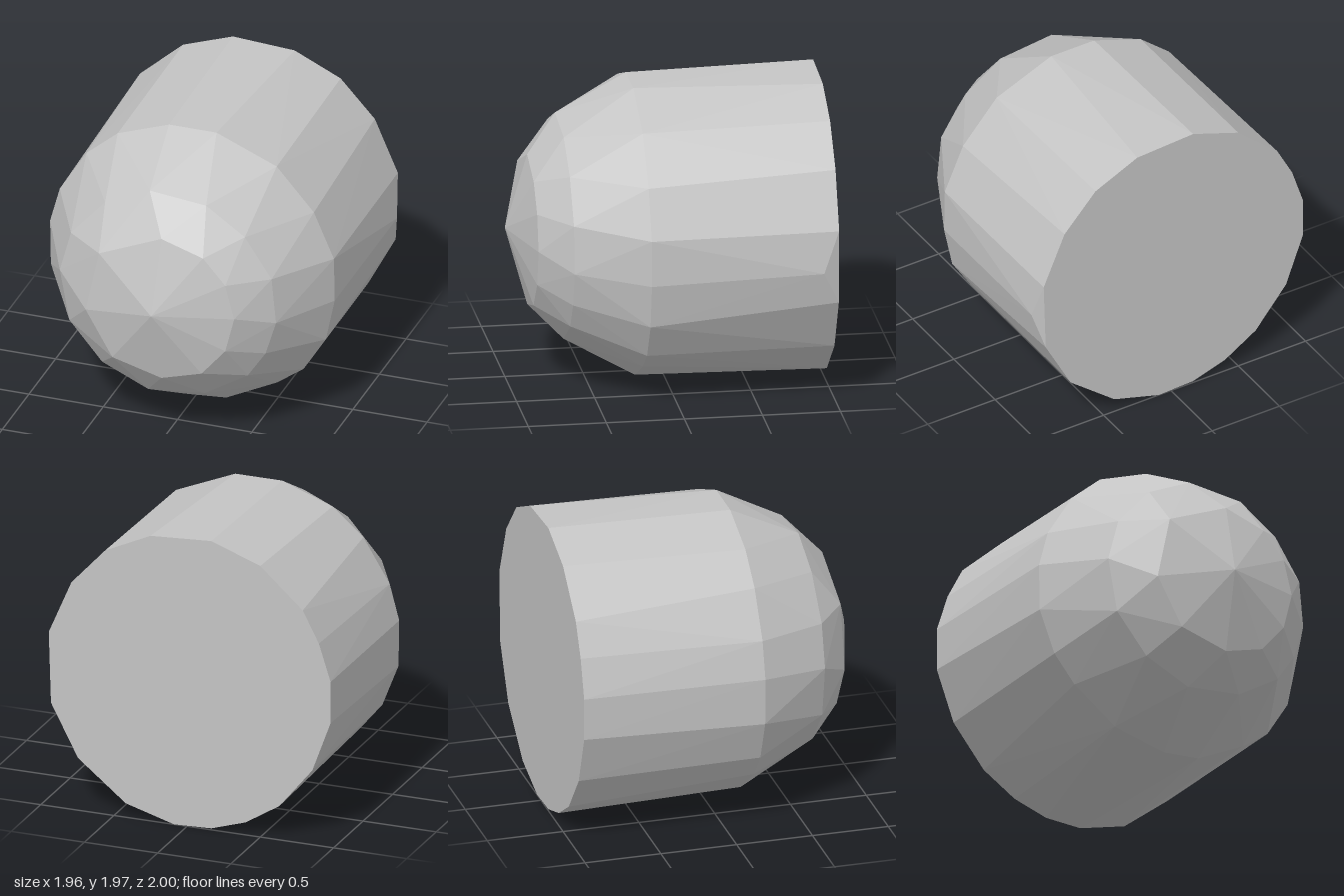
import * as THREE from 'three';
import { ConvexGeometry } from 'three/addons/geometries/ConvexGeometry.js';

// Uneven cross-sections: depth z, then [x, y] corners around the axis.
const sections = [
  // tip
  { z: 1, pts: [[0, 0]] },
  // nose ring
  { z: 0.86, pts: [[0.51, 0], [0.45, 0.23], [0.30, 0.40], [0.02, 0.49], [-0.40, 0.31],
    [-0.49, -0.11], [-0.31, -0.42], [0.02, -0.51], [0.29, -0.43], [0.45, -0.24]] },
  // shoulder ring
  { z: 0.66, pts: [[0.72, -0.09], [0.69, 0.22], [0.51, 0.49], [0.25, 0.67], [-0.13, 0.71],
    [-0.43, 0.57], [-0.66, 0.31], [-0.735, 0.03], [-0.67, -0.32], [-0.45, -0.58],
    [-0.14, -0.72], [0.24, -0.68], [0.53, -0.5], [0.65, -0.32]] },
  // front edge of the body
  { z: 0.2, pts: [[0.95, -0.12], [0.945, 0.18], [0.81, 0.49], [0.56, 0.775], [0.155, 0.945],
    [-0.165, 0.945], [-0.51, 0.82], [-0.72, 0.64], [-0.9, 0.35], [-0.965, 0.11],
    [-0.96, -0.2], [-0.85, -0.48], [-0.7, -0.66], [-0.4, -0.88], [-0.03, -0.97],
    [0.22, -0.95], [0.56, -0.78], [0.74, -0.65], [0.89, -0.41]] },
  // chipped corner just ahead of the back
  { z: -0.9, pts: [[0.975, -0.08]] },
  // flat back
  { z: -1, pts: [[0.945, 0.19], [0.79, 0.55], [0.56, 0.80], [0.25, 0.945], [-0.165, 0.97],
    [-0.5, 0.85], [-0.79, 0.59], [-0.9, 0.38], [-0.98, 0.13], [-0.98, -0.15],
    [-0.855, -0.49], [-0.63, -0.765], [-0.4, -0.91], [-0.165, -0.985], [0.09, -0.995],
    [0.42, -0.9], [0.745, -0.64], [0.93, -0.29]] },
];

export function createModel() {
  const group = new THREE.Group();
  group.name = 'facetedBullet';

  const grey = new THREE.MeshStandardMaterial({ color: 0xc4c4c4 });
  grey.name = 'plain grey';
  grey.flatShading = true;

  // Faceted skin stretched over the cross-sections
  const points = sections.flatMap(({ z, pts }) =>
    pts.map(([x, y]) => new THREE.Vector3(x, y + 1, z)));
  const body = new THREE.Mesh(new ConvexGeometry(points), grey);
  body.name = 'roundNosedBody';
  group.add(body);

  return group;
}
